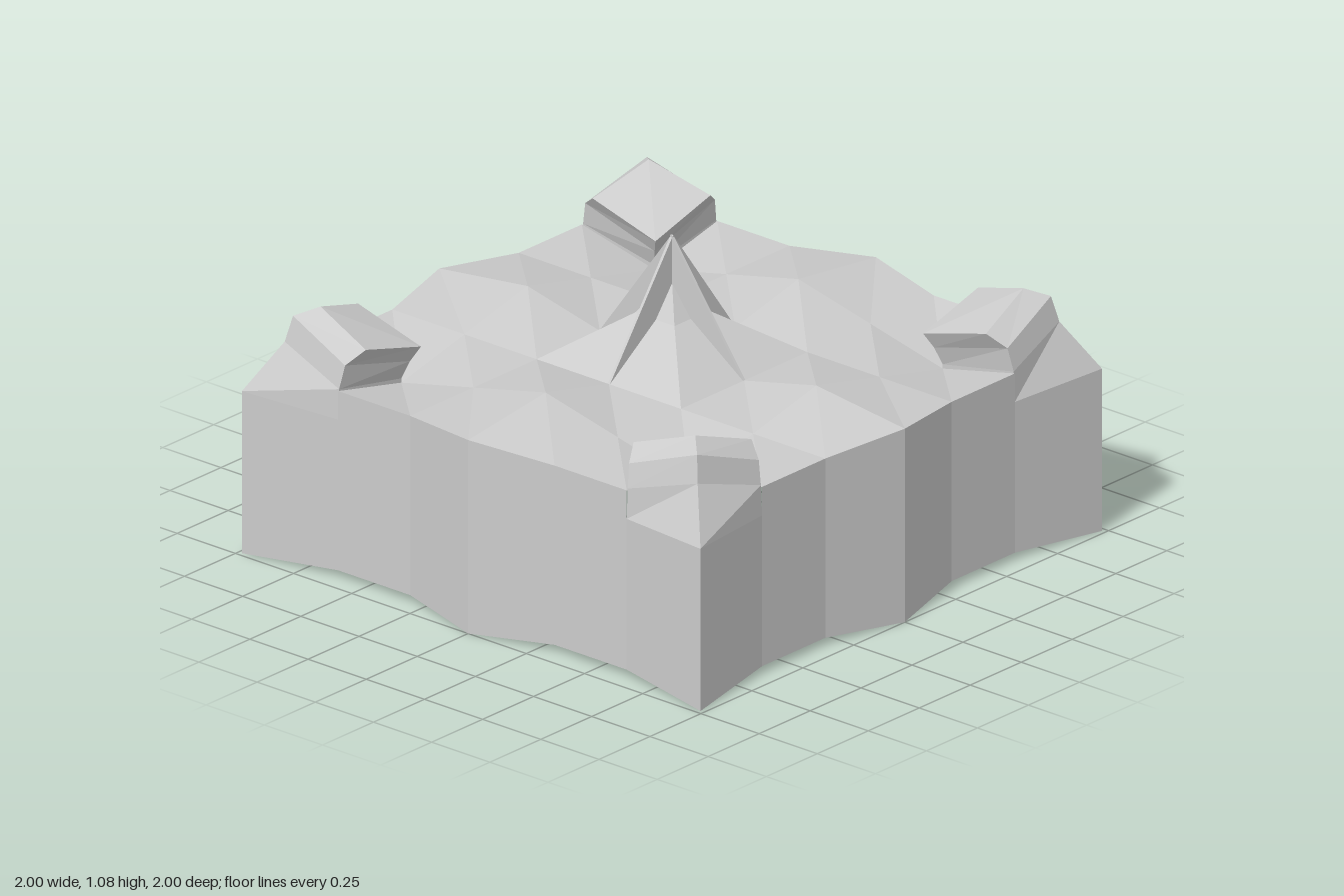
import * as THREE from 'three';

const material = new THREE.MeshStandardMaterial({ color: 0xcccccc, flatShading: true });
const V = (x, y, z) => new THREE.Vector3(x, y, z);

// Collects quads and triangles (counter-clockwise from outside) into a faceted mesh
function facetMesh(name, faces) {
  const points = [];
  for (const f of faces) {
    for (let k = 1; k < f.length - 1; k++) points.push(f[0], f[k], f[k + 1]);
  }
  const geometry = new THREE.BufferGeometry().setFromPoints(points);
  geometry.computeVertexNormals();
  const mesh = new THREE.Mesh(geometry, material);
  mesh.name = name;
  return mesh;
}

// Four copies around the vertical axis
function fourAround(name, make) {
  const group = new THREE.Group();
  group.name = name;
  for (let k = 0; k < 4; k++) {
    const part = make();
    part.rotation.y = k * Math.PI / 2;
    group.add(part);
  }
  return group;
}

// Wavy block: a 6 x 6 grid whose rim bulges at corners and side middles
const STEP = 0.31, TOP = 0.655;
const rim = [1, 0.93, 0.93, 0.985];
const wave = [1, 0, -1];
const axis = (i, j) => Math.abs(i) === 3 ? Math.sign(i) * rim[Math.abs(j)] : i * STEP;
function height(i, j) {
  const a = Math.abs(i), b = Math.abs(j);
  if (a === 3 || b === 3) return Math.min(a, b) === 0 ? 0.68 : TOP;
  return TOP - 0.07 * wave[a] * wave[b];
}
function floor(i, j) {
  const a = Math.abs(i), b = Math.abs(j);
  return Math.max(a, b) === 3 && Math.min(a, b) % 3 === 0 ? 0 : 0.025;
}
const topPoint = (i, j) => V(axis(i, j), height(i, j), axis(j, i));
const basePoint = (i, j) => V(axis(i, j), floor(i, j), axis(j, i));

function terrain() {
  const faces = [];
  for (let i = -3; i < 3; i++) {
    for (let j = -3; j < 3; j++) {
      const a = Math.abs(i + 0.5), b = Math.abs(j + 0.5);
      const underSpire = a < 1 && b < 1, underBoulder = a > 2 && b > 2;
      if (underSpire || underBoulder) continue;
      faces.push([topPoint(i, j + 1), topPoint(i + 1, j + 1), topPoint(i + 1, j), topPoint(i, j)]);
    }
  }
  return facetMesh('terrain', faces);
}

function underside() {
  const faces = [];
  for (let i = -3; i < 3; i++) {
    for (let j = -3; j < 3; j++) {
      faces.push([basePoint(i, j), basePoint(i + 1, j), basePoint(i + 1, j + 1), basePoint(i, j + 1)]);
    }
  }
  return facetMesh('underside', faces);
}

function wall() {
  const faces = [];
  for (let i = -3; i < 3; i++) {
    const corner = i === -3 || i === 2;
    const upper = (k) => {
      const p = topPoint(k, 3);
      if (corner) p.y = Math.abs(k) === 3 ? 0.57 : 0.555;
      return p;
    };
    faces.push([basePoint(i, 3), basePoint(i + 1, 3), upper(i + 1), upper(i)]);
  }
  return facetMesh('wall', faces);
}

// Corner boulder: rings of inner, front, outer and side corners, leaning inward
function boulder() {
  const ring = (inner, innerY, nearX, farZ, sideY, outer, outerY) => [
    V(inner, innerY, inner), V(nearX, sideY, farZ), V(outer, outerY, outer), V(farZ, sideY, nearX),
  ];
  const rings = [
    ring(0.62, 0.555, 0.62, 0.93, 0.555, 0.985, 0.57),
    ring(0.62, 0.60, 0.62, 0.925, 0.66, 0.887, 0.74),
    ring(0.60, 0.66, 0.61, 0.907, 0.74, 0.868, 0.83),
    ring(0.575, 0.71, 0.575, 0.845, 0.785, 0.805, 0.86),
  ];
  const faces = [rings[3]];
  for (let r = 0; r < 3; r++) {
    for (let k = 0; k < 4; k++) {
      const n = (k + 1) % 4;
      faces.push([rings[r][k], rings[r][n], rings[r + 1][n], rings[r + 1][k]]);
    }
  }
  return facetMesh('boulder', faces);
}

// Central mound: sloped side with a steeper cap
function moundSide() {
  const s = STEP, c = 0.085;
  return facetMesh('moundSide', [
    [V(-s, TOP, s), V(s, TOP, s), V(c, 0.81, c), V(-c, 0.81, c)],
    [V(-c, 0.81, c), V(c, 0.81, c), V(0, 0.92, 0)],
  ]);
}

// Thin triangular fin standing across the mound
function fin(angle) {
  const shape = new THREE.Shape([
    new THREE.Vector2(-STEP, TOP), new THREE.Vector2(STEP, TOP), new THREE.Vector2(0, 1.08),
  ]);
  const geometry = new THREE.ExtrudeGeometry(shape, { depth: 0.01, bevelEnabled: false });
  geometry.translate(0, 0, -0.005);
  const mesh = new THREE.Mesh(geometry, material);
  mesh.name = 'spireFin';
  mesh.rotation.y = angle;
  return mesh;
}

export function createModel() {
  const model = new THREE.Group();
  model.name = 'terrainBlock';
  model.add(terrain(), underside());
  model.add(fourAround('walls', wall));
  model.add(fourAround('boulders', boulder));
  model.add(fourAround('mound', moundSide));
  model.add(fin(0), fin(Math.PI / 2));
  return model;
}
